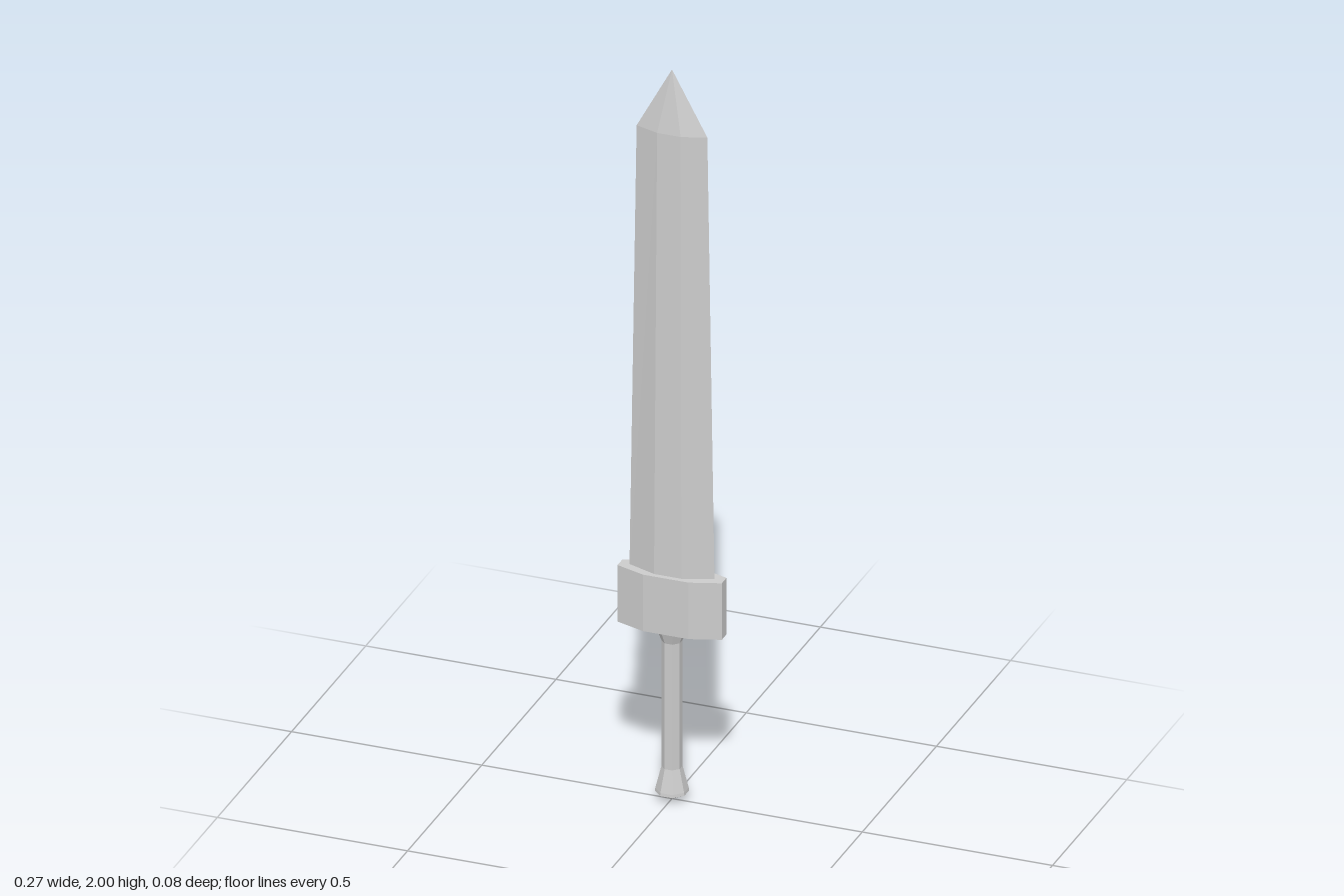
import * as THREE from 'three';

const material = new THREE.MeshStandardMaterial({ color: 0xcccccc, flatShading: true });

// Skin a stack of equal-length rings ([x, z] outlines at height y), capped at both ends.
function loft(rings) {
  const n = rings[0].outline.length;
  const pos = [];
  const at = (r, i) => {
    const [x, z] = rings[r].outline[i % n];
    return [x, rings[r].y, z];
  };
  const tri = (a, b, c) => pos.push(...a, ...b, ...c);
  const last = rings.length - 1;
  for (let i = 0; i < n; i++) {
    for (let r = 0; r < last; r++) {
      tri(at(r, i), at(r, i + 1), at(r + 1, i + 1));
      tri(at(r, i), at(r + 1, i + 1), at(r + 1, i));
    }
    tri([0, rings[0].y, 0], at(0, i + 1), at(0, i));
    tri([0, rings[last].y, 0], at(last, i), at(last, i + 1));
  }
  const geometry = new THREE.BufferGeometry();
  geometry.setAttribute('position', new THREE.Float32BufferAttribute(pos, 3));
  geometry.computeVertexNormals();
  return geometry;
}

// Six-sided blade section: sharp edges at the sides, flat fuller front and back
const bladeSection = (edge, flat, thick) => [
  [edge, 0], [flat, -thick], [-flat, -thick], [-edge, 0], [-flat, thick], [flat, thick],
];

// Eight-sided guard section with blunt ends
const guardSection = (end, endThick, flat, thick) => [
  [end, endThick], [end, -endThick], [flat, -thick], [-flat, -thick],
  [-end, -endThick], [-end, endThick], [-flat, thick], [flat, thick],
];

export function createModel() {
  const group = new THREE.Group();
  const add = (name, geometry) => {
    const mesh = new THREE.Mesh(geometry, material);
    mesh.name = name;
    group.add(mesh);
    return mesh;
  };

  // Tapering blade ending in a point
  add('blade', loft([
    { y: 0.6, outline: bladeSection(0.112, 0.036, 0.029) },
    { y: 1.83, outline: bladeSection(0.093, 0.031, 0.021) },
    { y: 2.0, outline: bladeSection(0, 0, 0) },
  ]));

  // Broad guard
  const guardOutline = guardSection(0.137, 0.016, 0.06, 0.042);
  add('guard', loft([
    { y: 0.468, outline: guardOutline },
    { y: 0.623, outline: guardOutline },
  ]));

  // Octagonal grip, flared at the guard and at the pommel
  const profile = [
    [0, 0], [0.042, 0.022], [0.041, 0.03], [0.026, 0.09], [0.026, 0.435], [0.038, 0.468], [0, 0.468],
  ].map(([r, y]) => new THREE.Vector2(r, y));
  add('grip', new THREE.LatheGeometry(profile, 8, Math.PI / 8));

  return group;
}
